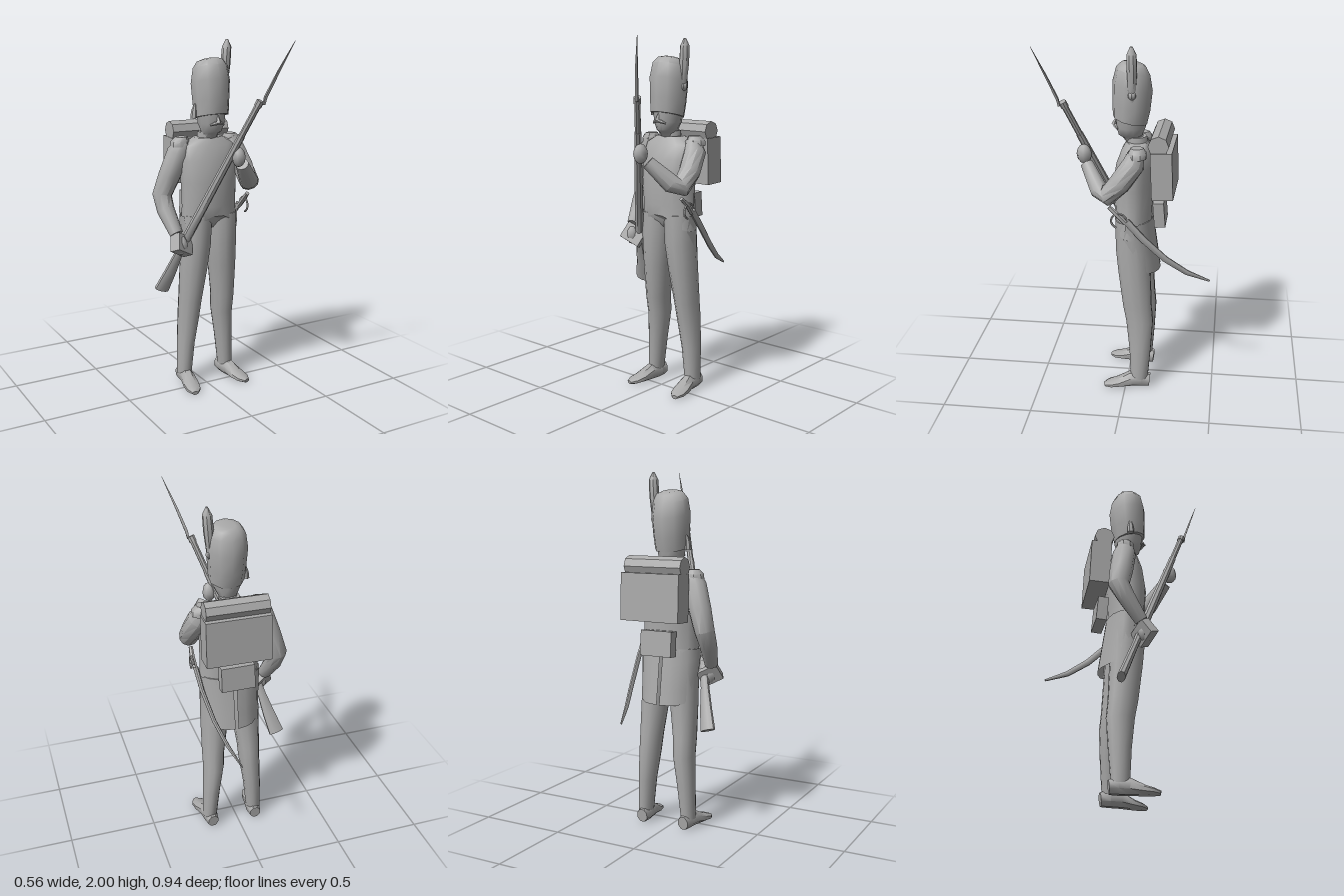
import * as THREE from 'three';
import { toCreasedNormals } from 'three/addons/utils/BufferGeometryUtils.js';

const grey = new THREE.MeshStandardMaterial({ color: 0xaaaaaa, side: THREE.DoubleSide });
grey.name = 'plain grey';

const MID = 0.03; // the figure's own centre line in x
const flip = (x) => 2 * MID - x;
const mirrorPts = (pts) => pts.map(([x, ...rest]) => [flip(x), ...rest]);

// Closed skin over elliptical sections [x, y, z, radiusA, radiusB].
// level keeps every section horizontal; otherwise sections follow the path.
function loft(pts, { sides = 10, level = false, ref = [0, 0, 1] } = {}) {
  const pos = [], idx = [];
  const c = pts.map((p) => new THREE.Vector3(p[0], p[1], p[2]));
  const r = new THREE.Vector3(...ref);
  pts.forEach(([, , , a, b], i) => {
    const t = level ? new THREE.Vector3(0, 1, 0)
      : c[Math.min(i + 1, c.length - 1)].clone().sub(c[Math.max(i - 1, 0)]).normalize();
    const u = t.clone().cross(r).normalize(), v = u.clone().cross(t);
    for (let k = 0; k < sides; k++) {
      const w = ((k + 0.5) / sides) * Math.PI * 2;
      const q = c[i].clone().addScaledVector(u, Math.cos(w) * a).addScaledVector(v, Math.sin(w) * b);
      pos.push(q.x, q.y, q.z);
    }
  });
  for (let i = 0; i < pts.length - 1; i++) for (let k = 0; k < sides; k++) {
    const a = i * sides + k, b = i * sides + (k + 1) % sides;
    idx.push(a, a + sides, b, b, a + sides, b + sides);
  }
  const last = (pts.length - 1) * sides;
  for (let k = 1; k < sides - 1; k++) idx.push(0, k, k + 1, last, last + k + 1, last + k);
  const g = new THREE.BufferGeometry();
  g.setAttribute('position', new THREE.Float32BufferAttribute(pos, 3));
  g.setIndex(idx);
  return g;
}

export function createModel() {
  const model = new THREE.Group();
  const add = (name, geo, x = 0, y = 0, z = 0, crease = 0.75) => {
    geo.computeVertexNormals();
    const m = new THREE.Mesh(toCreasedNormals(geo, crease), grey);
    m.name = name;
    m.position.set(x, y, z);
    model.add(m);
    return m;
  };

  // Coat body with a front hem that rises to a small notch and drops at the sides
  const coat = loft([
    [0.033, 1.0, -0.03, 0.175, 0.105], [0.03, 1.08, -0.03, 0.165, 0.105],
    [0.028, 1.22, -0.03, 0.168, 0.115], [0.03, 1.34, -0.04, 0.175, 0.105],
    [0.03, 1.42, -0.05, 0.165, 0.085], [0.03, 1.46, -0.05, 0.09, 0.06],
  ], { sides: 16, level: true });
  const cp = coat.attributes.position;
  for (let i = 0; i < 16; i++) cp.setY(i, 1.03 - 0.09 * Math.min(1, Math.abs(cp.getX(i) - MID) / 0.16) ** 2);
  add('coat', coat);
  add('collar', loft([[0.03, 1.43, -0.05, 0.062, 0.06], [0.03, 1.49, -0.045, 0.058, 0.056]], { level: true }));

  // Split coat tails wrapping from the hips to the back
  for (const side of [-1, 1]) {
    const tail = new THREE.PlaneGeometry(1, 1, 6, 4);
    const p = tail.attributes.position;
    for (let i = 0; i < p.count; i++) {
      const u = p.getX(i) + 0.5, v = 0.5 - p.getY(i);
      const a = -0.25 + u * (Math.PI / 2 + 0.2);
      const hem = Math.max(0.72, 0.94 - 0.42 * u);
      p.setXYZ(i, MID + side * Math.cos(a) * (0.178 - 0.01 * v),
        1.03 + (hem - 1.03) * v, -0.03 - Math.sin(a) * (0.11 + 0.045 * v));
    }
    add('coatTail', tail);
  }

  // Trousers and shoes, right side mirrored to the left
  const leg = [
    [-0.108, 0.06, -0.08, 0.042, 0.05], [-0.096, 0.25, -0.082, 0.05, 0.063],
    [-0.08, 0.42, -0.077, 0.06, 0.078], [-0.077, 0.52, -0.063, 0.064, 0.083],
    [-0.062, 0.72, -0.045, 0.079, 0.092], [-0.053, 0.86, -0.036, 0.086, 0.098],
    [-0.048, 1.03, -0.03, 0.088, 0.095],
  ];
  const shoe = [
    [-0.103, 0.042, -0.14, 0.033, 0.04], [-0.105, 0.047, -0.09, 0.043, 0.047],
    [-0.112, 0.046, -0.03, 0.042, 0.046], [-0.125, 0.028, 0.04, 0.047, 0.028],
    [-0.135, 0.02, 0.09, 0.042, 0.02], [-0.143, 0.014, 0.123, 0.018, 0.012],
  ];
  for (const f of [(q) => q, mirrorPts]) {
    add('trouserLeg', loft(f(leg), { level: true, sides: 12 }));
    add('shoe', loft(f(shoe), { ref: [0, 1, 0], sides: 8 }));
    // Epaulette
    add('epaulette', loft(f([
      [-0.133, 1.415, -0.065, 0.056, 0.052], [-0.133, 1.445, -0.065, 0.052, 0.05],
      [-0.125, 1.468, -0.062, 0.034, 0.036],
    ]), { level: true, sides: 8 }));
  }

  // Arms: one lowered to the stock, one raised to the barrel
  add('rightArm', loft([
    [-0.115, 1.44, -0.06, 0.045, 0.045], [-0.14, 1.38, -0.07, 0.065, 0.065],
    [-0.185, 1.25, -0.095, 0.062, 0.065], [-0.222, 1.14, -0.115, 0.055, 0.06],
    [-0.222, 1.06, -0.07, 0.05, 0.05], [-0.2, 0.94, 0.015, 0.038, 0.038],
  ]));
  add('leftArm', loft([
    [0.175, 1.44, -0.06, 0.045, 0.045], [0.2, 1.38, -0.045, 0.062, 0.062],
    [0.222, 1.28, 0.025, 0.06, 0.06], [0.222, 1.205, 0.095, 0.055, 0.055],
    [0.19, 1.225, 0.14, 0.05, 0.052], [0.095, 1.34, 0.22, 0.036, 0.036],
  ], { ref: [0.5, 0.8, 0.2] }));
  const hand = (name, x, y, z) => add(name, new THREE.SphereGeometry(1, 8, 6), x, y, z, 1).scale.set(0.037, 0.055, 0.042);
  hand('rightHand', -0.185, 0.88, 0.04);
  hand('leftHand', 0.06, 1.385, 0.24);
  const cuff = add('cuff', new THREE.BoxGeometry(0.12, 0.1, 0.06), -0.18, 0.88, 0.035);
  cuff.rotation.set(-0.4, 0.5, -0.3);

  // Neck, head, nose, moustache
  add('head', loft([
    [0.03, 1.44, -0.045, 0.045, 0.045], [0.03, 1.48, -0.03, 0.045, 0.06],
    [0.033, 1.495, -0.012, 0.055, 0.065], [0.035, 1.54, -0.015, 0.075, 0.08],
    [0.035, 1.64, -0.015, 0.085, 0.085],
  ], { level: true, sides: 12 }));
  const nose = add('nose', new THREE.ConeGeometry(0.016, 0.05, 4), 0.033, 1.572, 0.07);
  nose.rotation.x = -0.3;
  add('moustache', loft([
    [-0.01, 1.535, 0.055, 0.005, 0.005], [0.012, 1.545, 0.068, 0.01, 0.01],
    [0.033, 1.548, 0.073, 0.01, 0.01], [0.054, 1.545, 0.068, 0.01, 0.01],
    [0.076, 1.535, 0.055, 0.005, 0.005],
  ], { sides: 6 }));

  // Tall fur cap, sloping down to the back
  const cap = loft([
    [0.035, 1.58, -0.008, 0.097, 0.092], [0.035, 1.66, -0.015, 0.103, 0.102],
    [0.035, 1.77, -0.022, 0.11, 0.107], [0.035, 1.85, -0.025, 0.098, 0.09],
    [0.037, 1.885, -0.03, 0.075, 0.066], [0.04, 1.895, -0.035, 0.045, 0.045],
  ], { level: true, sides: 10 });
  const hp = cap.attributes.position;
  for (let i = 0; i < hp.count; i++) hp.setY(i, hp.getY(i) + 0.24 * hp.getZ(i));
  add('furCap', cap);
  add('plume', loft([
    [0.125, 1.7, -0.03, 0.012, 0.016], [0.13, 1.76, -0.03, 0.02, 0.022],
    [0.135, 1.86, -0.03, 0.028, 0.028], [0.141, 1.95, -0.028, 0.026, 0.027],
    [0.142, 1.99, -0.027, 0.006, 0.008],
  ], { level: true, sides: 8 }));
  add('cockade', new THREE.SphereGeometry(0.026, 8, 6), 0.128, 1.735, -0.03);
  add('tassel', loft([
    [-0.072, 1.57, -0.02, 0.017, 0.02], [-0.07, 1.61, -0.02, 0.014, 0.018], [-0.062, 1.65, -0.02, 0.006, 0.008],
  ], { level: true, sides: 6 }));

  // Knapsack with rolled blanket, and the pouch below
  const pack = add('knapsack', new THREE.BoxGeometry(0.36, 0.26, 0.115), 0.04, 1.32, -0.2);
  pack.rotation.set(0.04, -0.02, 0);
  const roll = add('blanketRoll', new THREE.CylinderGeometry(0.056, 0.056, 0.35, 8), 0.037, 1.485, -0.18);
  roll.rotation.set(0, -0.02, Math.PI / 2);
  const pouch = add('pouch', new THREE.BoxGeometry(0.19, 0.14, 0.06), 0.03, 1.065, -0.178);
  pouch.rotation.x = 0.08;

  // Musket held across the body, placed by height along its slope
  const gun = (y, a, b = a, dx = 0) => [-0.16 + 0.354 * (y - 0.87) + dx, y, 0.01 + 0.402 * (y - 0.87), a, b];
  add('stock', loft([
    gun(0.59, 0.045, 0.024, 0.02), gun(0.7, 0.036, 0.022, 0.015), gun(0.81, 0.025, 0.02, 0.005),
    gun(0.9, 0.026, 0.024), gun(1.1, 0.025), gun(1.5, 0.02),
  ], { sides: 8 }));
  add('barrel', loft([gun(1.0, 0.018), gun(1.69, 0.017)], { sides: 8 }));
  add('muzzleBand', loft([gun(1.66, 0.021), gun(1.69, 0.021)], { sides: 8 }));
  add('bayonet', loft([
    [0.14, 1.67, 0.355, 0.008, 0.008], [0.147, 1.71, 0.362, 0.011, 0.008],
    [0.19, 1.84, 0.41, 0.009, 0.006], [0.25, 2.0, 0.47, 0.001, 0.001],
  ], { sides: 4 }));

  // Curved sabre in its scabbard, with grip and knuckle guard
  add('scabbard', loft([
    [0.215, 1.06, -0.01, 0.014, 0.02], [0.205, 0.96, -0.095, 0.012, 0.02],
    [0.175, 0.83, -0.22, 0.011, 0.019], [0.135, 0.735, -0.34, 0.01, 0.016],
    [0.092, 0.67, -0.466, 0.004, 0.006],
  ], { ref: [0, 0.7, -0.7], sides: 8 }));
  add('grip', loft([
    [0.215, 1.05, -0.005, 0.014, 0.014], [0.22, 1.1, 0.04, 0.015, 0.015], [0.215, 1.14, 0.085, 0.012, 0.012],
  ], { sides: 6 }));
  const guard = add('knuckleGuard', new THREE.TorusGeometry(0.042, 0.006, 5, 12, Math.PI * 1.3), 0.225, 1.065, 0.03);
  guard.rotation.y = Math.PI / 2;
  guard.rotation.x = 0.3;
  return model;
}
